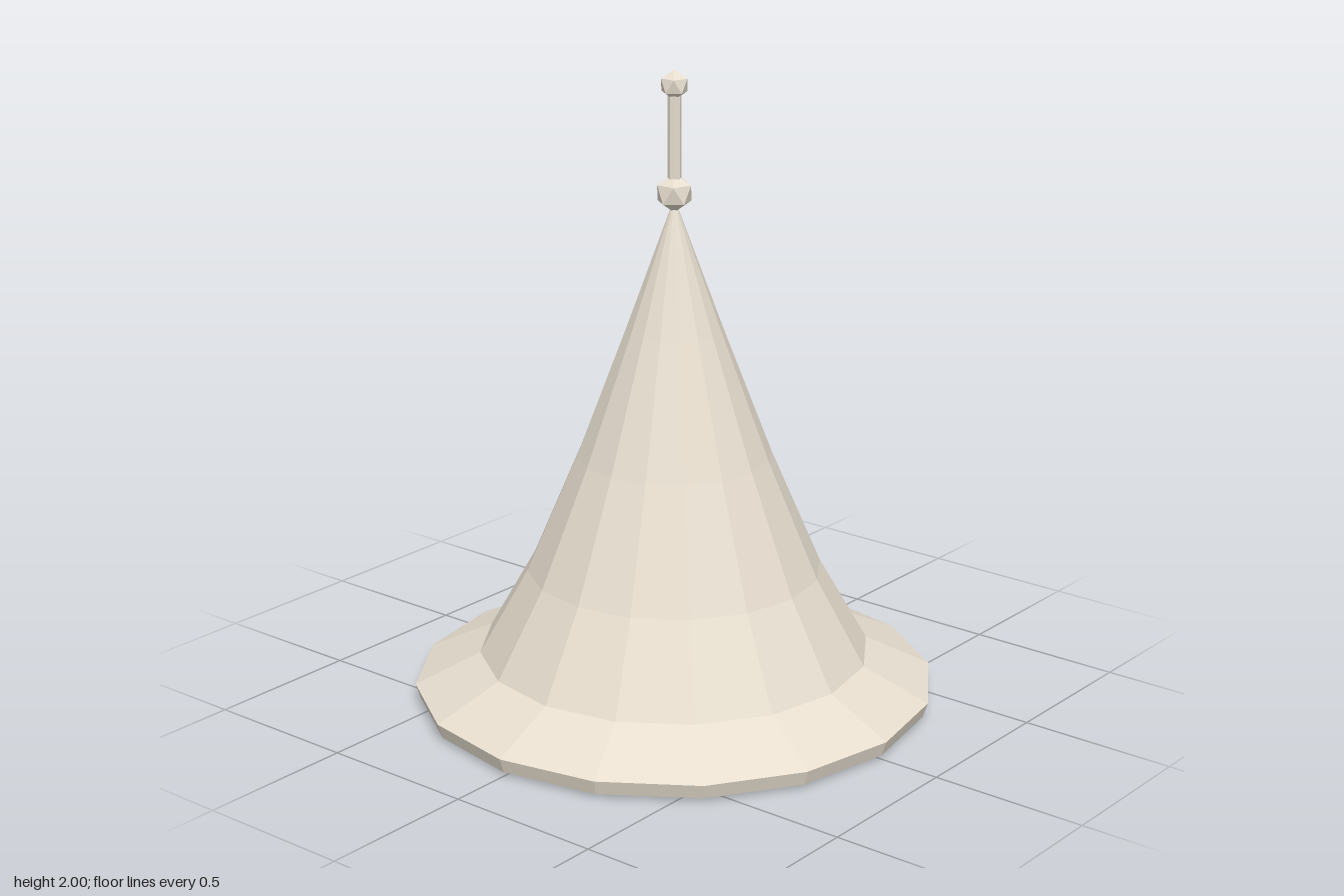
import * as THREE from 'three';

const SIDES = 16;

export function createModel() {
  const model = new THREE.Group();
  model.name = 'conicalRoof';
  const material = (name, color) => {
    const m = new THREE.MeshStandardMaterial({ color });
    m.name = name;
    m.flatShading = true;
    return m;
  };
  const pale = material('pale stone', 0xe7decf);
  const dark = material('dark stone', 0x877f76);

  const add = (name, geometry, mat, y = 0) => {
    const mesh = new THREE.Mesh(geometry, mat);
    mesh.name = name;
    mesh.position.y = y;
    model.add(mesh);
  };
  const lathe = (points) =>
    new THREE.LatheGeometry(points.map(([r, y]) => new THREE.Vector2(r, y)), SIDES);

  // Outer cone, flaring slightly toward its foot
  add('roofCone', lathe([[0.613, 0.16], [0.46, 0.43], [0.302, 0.8], [0.15, 1.2], [0, 1.61]]), pale);

  // Hollow inside of the cone, facing inward
  add('roofLining', lathe([[0, 1.5], [0.12, 1.2], [0.265, 0.8], [0.42, 0.43], [0.535, 0.105]]), pale);

  // Eave, from the inside outward
  add('innerLedge', lathe([[0.535, 0.105], [0.6, 0.065]]), dark);
  add('ringInnerWall', lathe([[0.6, 0.065], [0.6, 0.012]]), pale);
  add('footRing', lathe([[0.6, 0.012], [0.6, 0], [0.71, 0], [0.71, 0.012]]), dark);
  add('ringOuterWall', lathe([[0.71, 0.012], [0.71, 0.06]]), pale);
  add('soffit', lathe([[0.71, 0.06], [0.803, 0.013]]), dark);
  add('eaveTop', lathe([[0.803, 0.013], [0.818, 0.06], [0.613, 0.16]]), pale);

  // Finial: a rod between two faceted balls
  add('finialRod', new THREE.CylinderGeometry(0.021, 0.021, 0.33, 8), pale, 1.775);
  const ball = (name, radius, y) => {
    const geometry = new THREE.IcosahedronGeometry(radius, 0);
    geometry.rotateZ(-Math.atan(2 / (1 + Math.sqrt(5)))); // stand on a corner
    add(name, geometry, pale, y);
  };
  ball('finialLowerBall', 0.06, 1.625);
  ball('finialTopBall', 0.046, 1.954);

  return model;
}
